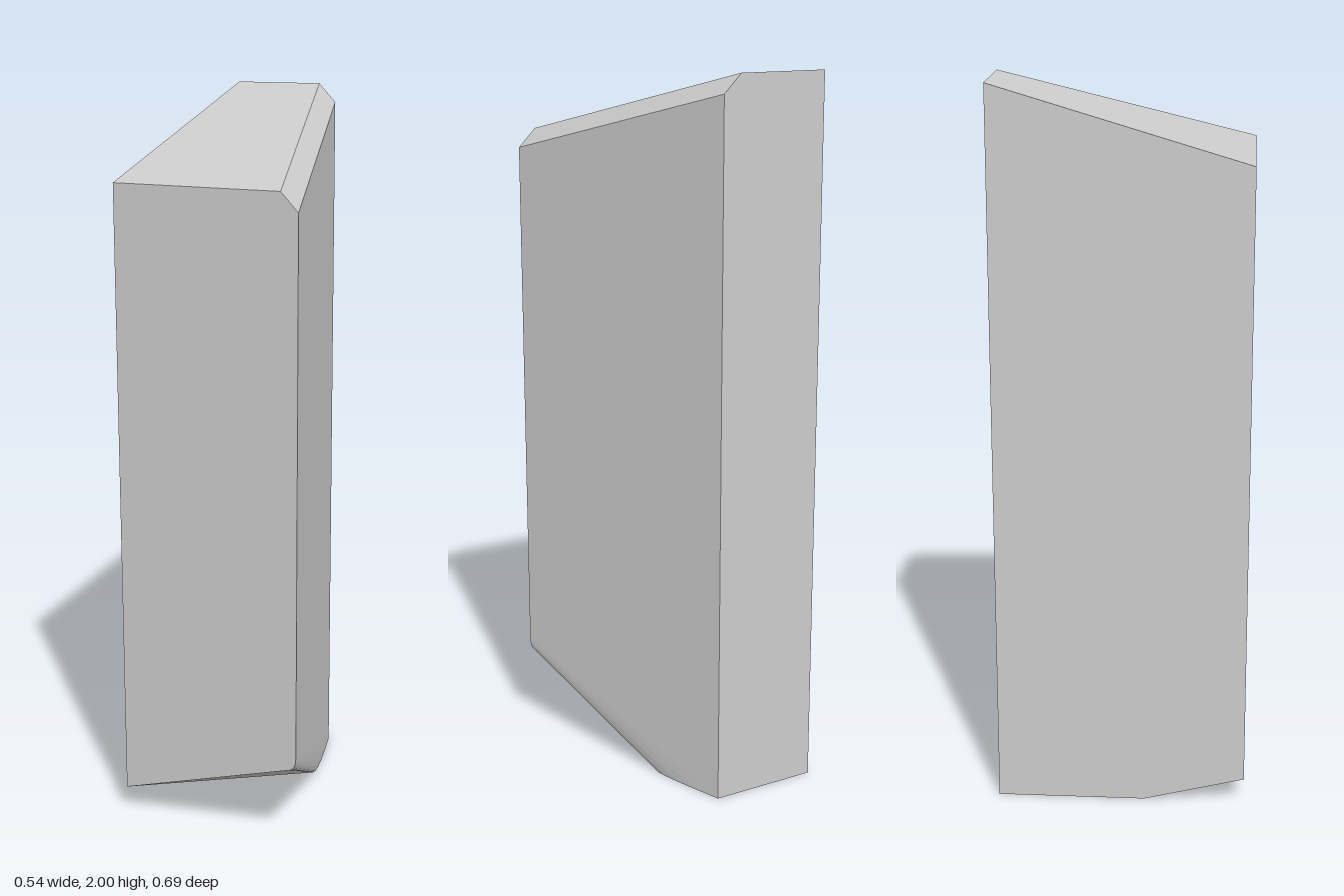
import * as THREE from 'three';
import { ConvexGeometry } from 'three/addons/geometries/ConvexGeometry.js';

const BACK = -0.345, FRONT = 0.345, LEFT = -0.27;
const V2 = (x, y) => new THREE.Vector2(x, y);
const V3 = (x, y, z) => new THREE.Vector3(x, y, z);

export function createModel() {
  const grey = new THREE.MeshStandardMaterial({ color: 0xcccccc });
  grey.name = 'stone grey';

  const points = [
    // sloping top with its narrow chamfer, back then front
    V3(LEFT, 1.995, BACK), V3(-0.015, 2, BACK), V3(0.035, 1.95, BACK),
    V3(LEFT, 1.79, FRONT), V3(0.218, 1.8, FRONT), V3(0.268, 1.75, FRONT),
    // flat foot and the raised lower front corner
    V3(LEFT, 0, BACK), V3(LEFT, 0, 0.065), V3(LEFT, 0.07, FRONT),
  ];

  // rounded lower edge of the slanted side: one arc on the front face, one on the foot
  const frontArc = new THREE.QuadraticBezierCurve(V2(0.268, 0.28), V2(0.268, 0.246), V2(0.25, 0.24));
  const footArc = new THREE.QuadraticBezierCurve(V2(0.035, BACK), V2(0.11, -0.121), V2(0.097, -0.11));
  for (const p of frontArc.getPoints(5)) points.push(V3(p.x, p.y, FRONT));
  for (const p of footArc.getPoints(5)) points.push(V3(p.x, 0, p.y));

  const block = new THREE.Mesh(new ConvexGeometry(points), grey);
  block.name = 'cutBlock';

  const group = new THREE.Group();
  group.name = 'standingBlock';
  group.add(block);
  return group;
}
